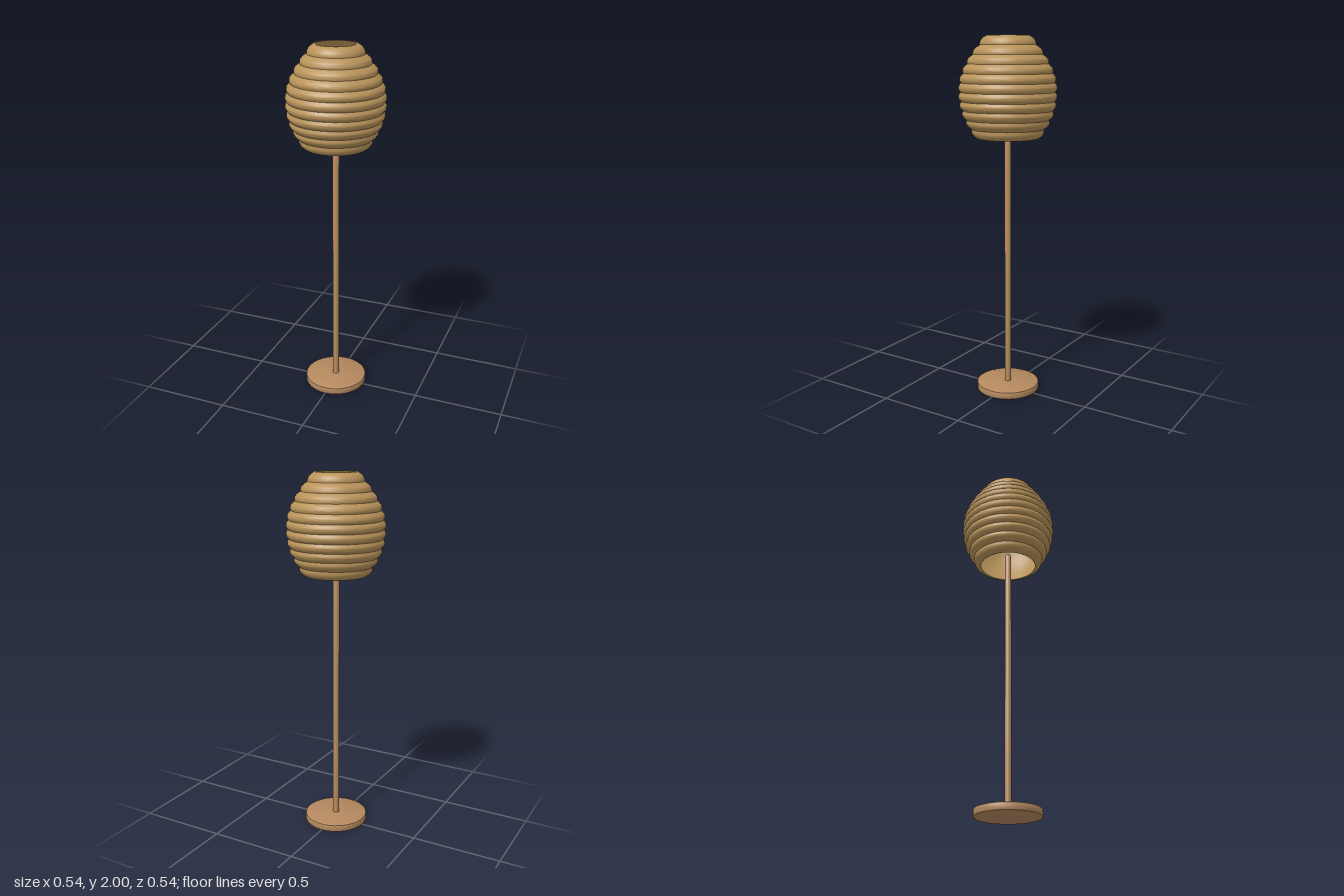
import * as THREE from 'three';
import { toCreasedNormals } from 'three/addons/utils/BufferGeometryUtils.js';

const V = (x, y) => new THREE.Vector2(x, y);

export function createModel() {
  const group = new THREE.Group();
  const wood = new THREE.MeshStandardMaterial({ color: 0xb5895f });
  const straw = new THREE.MeshStandardMaterial({ color: 0xb8935a });
  const cream = new THREE.MeshStandardMaterial({ color: 0xf5ead2 });

  const add = (name, geometry, material, y = 0) => {
    const mesh = new THREE.Mesh(geometry, material);
    mesh.name = name;
    mesh.position.y = y;
    group.add(mesh);
  };
  const lathe = (points, segments) => toCreasedNormals(new THREE.LatheGeometry(points, segments), 0.6);

  // Round foot with softened edges
  add('base', lathe([
    V(0, 0), V(0.17, 0), V(0.176, 0.003), V(0.178, 0.008),
    V(0.178, 0.034), V(0.176, 0.04), V(0.17, 0.043), V(0, 0.043),
  ], 40), wood);

  // Slim pole with a rounded tip
  add('pole', lathe([
    V(0, 0.03), V(0.018, 0.03), V(0.018, 1.52), V(0.016, 1.527), V(0.01, 1.532), V(0, 1.534),
  ], 20), wood);

  // Ribbed shade: groove radii from bottom to top, one bulging rib between each pair
  const bottom = 1.455, height = 0.545, steps = 8;
  const grooves = [0.168, 0.198, 0.225, 0.243, 0.253, 0.256, 0.253, 0.24, 0.218, 0.188, 0.152, 0.115];
  const ribs = grooves.length - 1;
  const envelope = new THREE.SplineCurve(grooves.map((r, i) => V(r, bottom + height * i / ribs)));
  const profile = [];
  for (let i = 0; i <= ribs * steps; i++) {
    const p = envelope.getPoint(i / (ribs * steps));
    p.x += 0.012 * Math.sin(Math.PI * (i % steps) / steps);
    profile.push(p);
  }
  // Smooth inner wall, back down to the bottom rim
  for (let i = 24; i >= 0; i--) {
    const p = envelope.getPoint(i / 24);
    profile.push(V(p.x - 0.011, p.y));
  }
  profile.push(profile[0].clone());
  add('shade', lathe(profile, 36), straw);

  // Bulb
  add('bulb', new THREE.SphereGeometry(0.067, 16, 12), cream, 1.66);

  return group;
}
